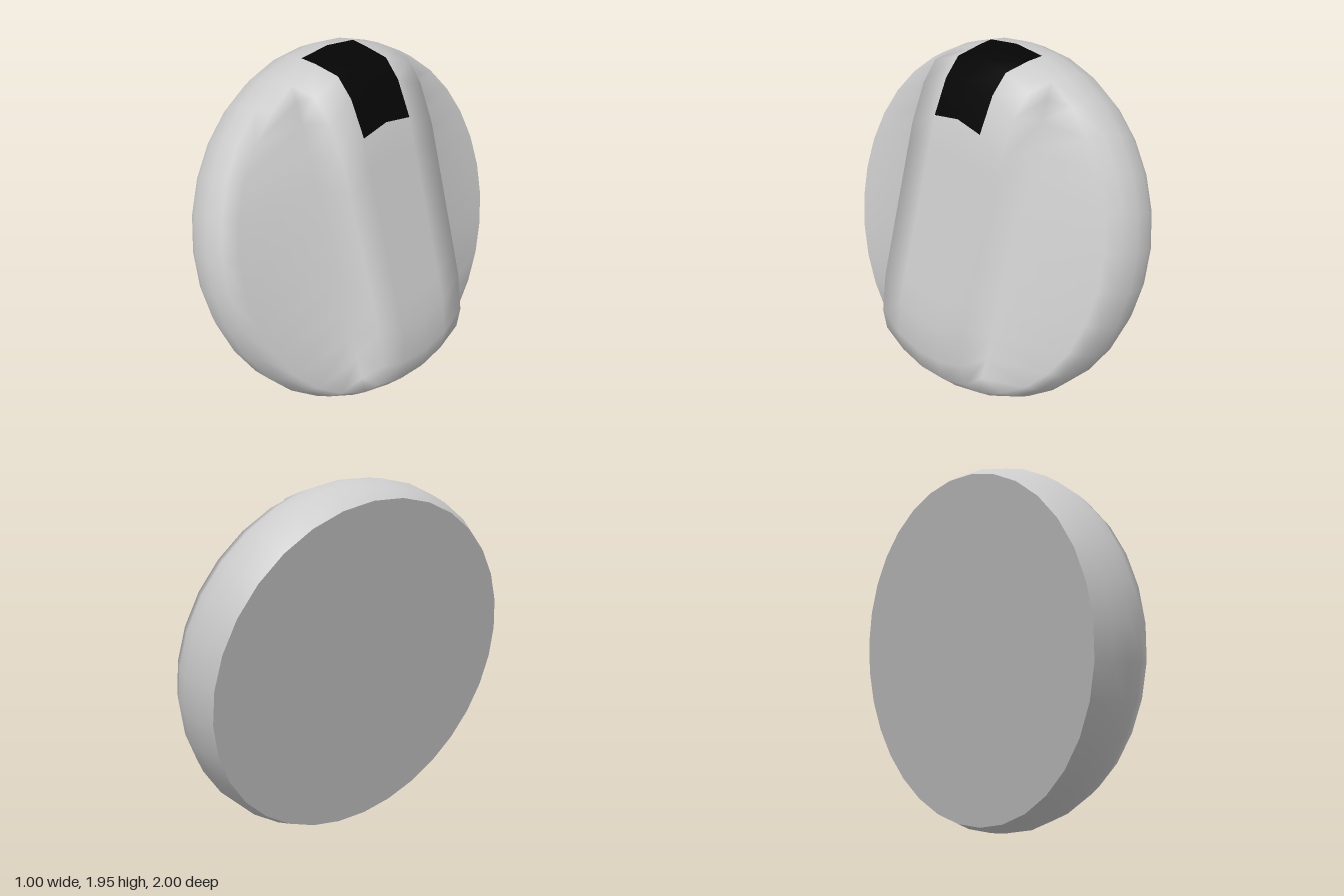
import * as THREE from 'three';
import { mergeVertices } from 'three/addons/utils/BufferGeometryUtils.js';

const SEG = 32, STEP = (2 * Math.PI) / SEG;
// Local frame: x = knob axis, y = along the grip, z = across it
const RIM = [[0, 0.946], [0.08, 0.985], [0.19, 1.0], [0.29, 0.98], [0.375, 0.945]]; // [height, radius]
const GRIP = [[0.375, 0.945], [0.5, 0.878], [0.557, 0.763], [0.588, 0.57]];
const FLOOR = 0.375, FLOOR_R = 0.945;

const ringPoint = ([u, r], k) => [u, r * Math.cos(k * STEP), r * Math.sin(k * STEP)];

// Point on the domed grip: row 2..14 runs from top to bottom, col -2..2 across
function gripPoint(row, col) {
  const sign = row <= 8 ? 1 : -1;
  const i = Math.min(row, 16 - row) - 2;
  const [u, r] = GRIP[Math.min(i, 3)];
  const z = FLOOR_R * Math.sin(col * STEP) * (1 - 0.18 * (u - FLOOR));
  let v = Math.sqrt(r * r - z * z) * sign;
  if (i > 3) v *= Math.cos(row * STEP) / Math.cos(5 * STEP) * sign;
  return [u + (i > 0 ? 0.012 * v : 0), v, z];
}

// Adds the quads of a grid of points to a triangle list
function addGrid(out, grid) {
  for (let i = 0; i < grid.length - 1; i++) {
    for (let j = 0; j < grid[i].length - 1; j++) {
      const a = grid[i][j], b = grid[i][j + 1], c = grid[i + 1][j + 1], d = grid[i + 1][j];
      out.push(...a, ...b, ...c, ...a, ...c, ...d);
    }
  }
}

function smoothGeometry(triangles) {
  const g = new THREE.BufferGeometry();
  g.setAttribute('position', new THREE.Float32BufferAttribute(triangles, 3));
  const merged = mergeVertices(g, 1e-4);
  merged.computeVertexNormals();
  return merged;
}

export function createModel() {
  const model = new THREE.Group();
  model.name = 'knob';
  const grey = new THREE.MeshStandardMaterial({ color: 0xcccccc });
  const black = new THREE.MeshStandardMaterial({ color: 0x050505 });
  const add = (name, geometry, material) => {
    const mesh = new THREE.Mesh(geometry, material);
    mesh.name = name;
    model.add(mesh);
    return mesh;
  };

  // Rounded rim
  const body = [];
  addGrid(body, RIM.map((p) => Array.from({ length: SEG + 1 }, (_, k) => ringPoint(p, k % SEG))));

  // Side recesses, grip walls and grip, one row per rim vertex
  const wallZ = FLOOR_R * Math.sin(2 * STEP);
  const rows = [];
  for (let k = 2; k <= 14; k++) {
    const [, v, z] = ringPoint([FLOOR, FLOOR_R], k);
    rows.push([
      [FLOOR, v, -z], [FLOOR, v, -wallZ],
      ...[-2, -1, 0, 1, 2].map((c) => gripPoint(k, c)),
      [FLOOR, v, wallZ], [FLOOR, v, z],
    ]);
  }
  addGrid(body, rows);
  add('knobBody', smoothGeometry(body), grey);

  // Flat underside
  const back = new THREE.CircleGeometry(RIM[0][1], SEG);
  back.rotateY(-Math.PI / 2);
  add('knobBack', back, grey);

  // Dark pointer mark lying over the top end of the grip
  const mark = [];
  const cols = [-1, 0, 1];
  addGrid(mark, [
    cols.map((c) => ringPoint(RIM[3], c)),
    ...[2, 3, 4, 5].map((k) => cols.map((c) => gripPoint(k, c))),
  ]);
  add('pointerMark', smoothGeometry(mark), black).position.set(0.003, 0.003, 0);

  // Lean the knob back
  model.rotation.z = THREE.MathUtils.degToRad(16);
  model.position.set(-0.24, 0.93, 0);
  const root = new THREE.Group();
  root.name = 'tiltedKnob';
  root.add(model);
  return root;
}
